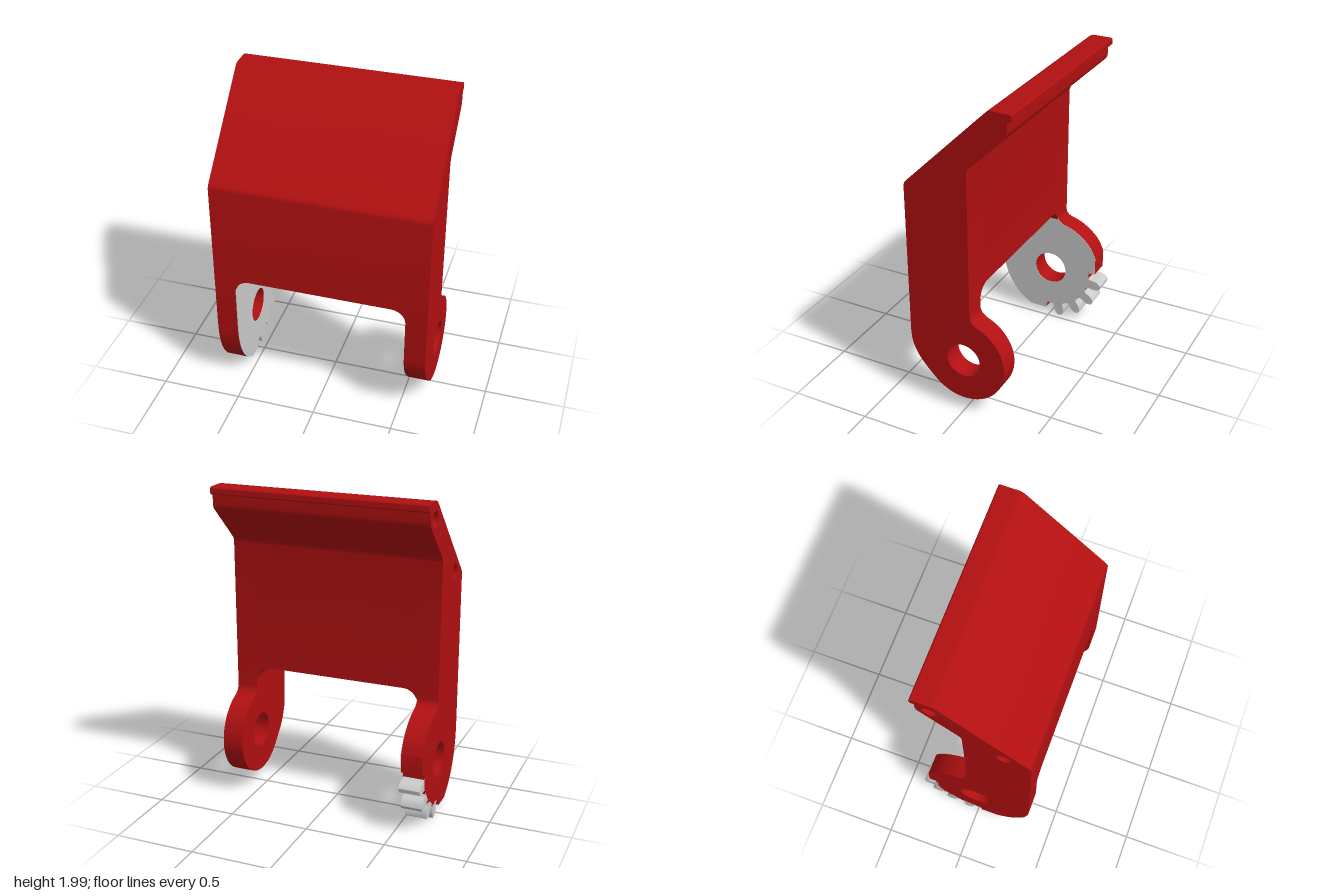
import * as THREE from 'three';
import { toCreasedNormals } from 'three/addons/utils/BufferGeometryUtils.js';

const red = new THREE.MeshStandardMaterial({ color: 0xb21011 });
const grey = new THREE.MeshStandardMaterial({ color: 0xcccccc });

const HALF = 0.665, INNER = 0.533, SOCKET_END = -0.45; // widths along x
const PIVOT_Y = 0.368, FRONT = -0.357, BACK = 0.047;   // side shapes use (-z, y)
const deg = THREE.MathUtils.degToRad;
const vectors = (pts) => pts.map(([a, b]) => new THREE.Vector2(a, b));

// Side shape swept across the width from x0 to x1
function sweep(name, shape, x0, x1, material) {
  const geo = new THREE.ExtrudeGeometry(shape, { depth: x1 - x0, bevelEnabled: false, curveSegments: 32 });
  geo.rotateY(Math.PI / 2);
  geo.translate(x0, 0, 0);
  const mesh = new THREE.Mesh(toCreasedNormals(geo, deg(28)), material);
  mesh.name = name;
  return mesh;
}

function addHole(shape, s, y, r) {
  shape.holes.push(new THREE.Path().absarc(s, y, r, 0, Math.PI * 2, true));
}

// Back of the panel, lip, top and sloping front, ending at the front bend
function addUpper(shape) {
  shape.lineTo(BACK, 1.61);
  shape.quadraticCurveTo(BACK, 1.635, 0.065, 1.653);
  shape.lineTo(0.28, 1.86);
  shape.quadraticCurveTo(0.295, 1.875, 0.295, 1.9);
  shape.lineTo(0.295, 1.955);
  shape.lineTo(0.315, 1.955);
  shape.lineTo(0.322, 1.962);
  shape.lineTo(0.322, 1.993);
  shape.lineTo(0.315, 2);
  shape.lineTo(0.2, 2);
  shape.quadraticCurveTo(0.185, 2, 0.17, 1.987);
  shape.lineTo(-0.34, 1.48);
  shape.quadraticCurveTo(FRONT, 1.463, FRONT, 1.44);
}

// Plain leg: rounded front edge running into a round pivot eye
function addPlainEye(shape) {
  shape.moveTo(FRONT, 0.48);
  shape.splineThru(vectors([[-0.35, 0.41], [-0.325, 0.34], [-0.28, 0.27], [-0.2, 0.184]]));
  shape.absarc(0, PIVOT_Y, 0.271, deg(223), deg(425), false);
  shape.quadraticCurveTo(BACK, 0.64, BACK, 0.69);
}

// Toothed leg: larger eye, cut back to the root circle where the teeth sit
function addGearEye(shape) {
  shape.moveTo(FRONT, 0.48);
  shape.splineThru(vectors([[-0.35, 0.36], [-0.315, 0.235], [-0.24, 0.12], [-0.145, 0.045]]));
  shape.lineTo(-0.03, 0.045);
  shape.lineTo(-0.018, 0.09);
  shape.absarc(0, PIVOT_Y, 0.278, deg(267), deg(366), false);
  shape.lineTo(0.322, 0.4);
  shape.lineTo(0.322, 0.52);
  shape.splineThru(vectors([[0.29, 0.585], [0.235, 0.645], [0.16, 0.695], [0.09, 0.72]]));
  shape.quadraticCurveTo(BACK, 0.735, BACK, 0.775);
}

function addSockets(shape) {
  addHole(shape, -0.2, 1.5, 0.048);
  addHole(shape, 0.21, 1.9, 0.048);
}

function panelShape() {
  const shape = new THREE.Shape();
  shape.moveTo(FRONT, 0.818);
  shape.lineTo(BACK, 0.818);
  addUpper(shape);
  return shape;
}

function legShape(addEye) {
  const shape = new THREE.Shape();
  addEye(shape);
  addUpper(shape);
  addHole(shape, 0, PIVOT_Y, 0.11);
  return shape;
}

// One rounded gear tooth pointing outwards at the given angle
function toothShape(angle) {
  const place = (r, w) => [
    r * Math.cos(angle) - w * Math.sin(angle),
    PIVOT_Y + r * Math.sin(angle) + w * Math.cos(angle),
  ];
  const side = [[0.265, 0.043], [0.29, 0.031], [0.325, 0.033], [0.35, 0.026], [0.367, 0.013]];
  const outline = [
    ...side.map(([r, w]) => place(r, -w)),
    ...side.slice().reverse().map(([r, w]) => place(r, w)),
  ];
  return new THREE.Shape(vectors(outline));
}

// Rounded inside corner between a leg and the lower edge of the panel
function cornerFillet(side) {
  const r = 0.09, x = side * INNER, y = 0.818;
  const pts = [[x, y]];
  for (let i = 0; i <= 10; i++) {
    const a = (i / 10) * Math.PI / 2;
    pts.push([x - side * r * (1 - Math.sin(a)), y - r * (1 - Math.cos(a))]);
  }
  const geo = new THREE.ExtrudeGeometry(new THREE.Shape(vectors(pts)), { depth: BACK - FRONT, bevelEnabled: false });
  geo.translate(0, 0, -BACK);
  const mesh = new THREE.Mesh(toCreasedNormals(geo, deg(28)), red);
  mesh.name = 'cornerFillet';
  return mesh;
}

export function createModel() {
  const model = new THREE.Group();
  model.name = 'hingedBracket';

  // Panel, with a section on the right that carries the blind sockets
  model.add(sweep('panel', panelShape(), SOCKET_END, INNER, red));
  const socketSection = panelShape();
  addSockets(socketSection);
  model.add(sweep('socketSection', socketSection, -INNER, SOCKET_END, red));

  // Legs
  model.add(sweep('leftLeg', legShape(addPlainEye), INNER, HALF, red));
  const rightLeg = legShape(addGearEye);
  addSockets(rightLeg);
  model.add(sweep('rightLeg', rightLeg, -HALF, -INNER, red));
  for (const side of [-1, 1]) model.add(cornerFillet(side));

  // Grey gear face on the inside of the right leg, and its teeth
  const gear = new THREE.Group();
  gear.name = 'gear';
  const face = new THREE.Shape();
  addGearEye(face);
  face.lineTo(FRONT, 0.775);
  addHole(face, 0, PIVOT_Y, 0.11);
  gear.add(sweep('gearFace', face, -INNER, -INNER + 0.003, grey));
  for (let i = 0; i < 4; i++) {
    gear.add(sweep('gearTooth', toothShape(deg(-10.5 - 22.6 * i)), -HALF, -INNER, grey));
  }
  model.add(gear);
  return model;
}
